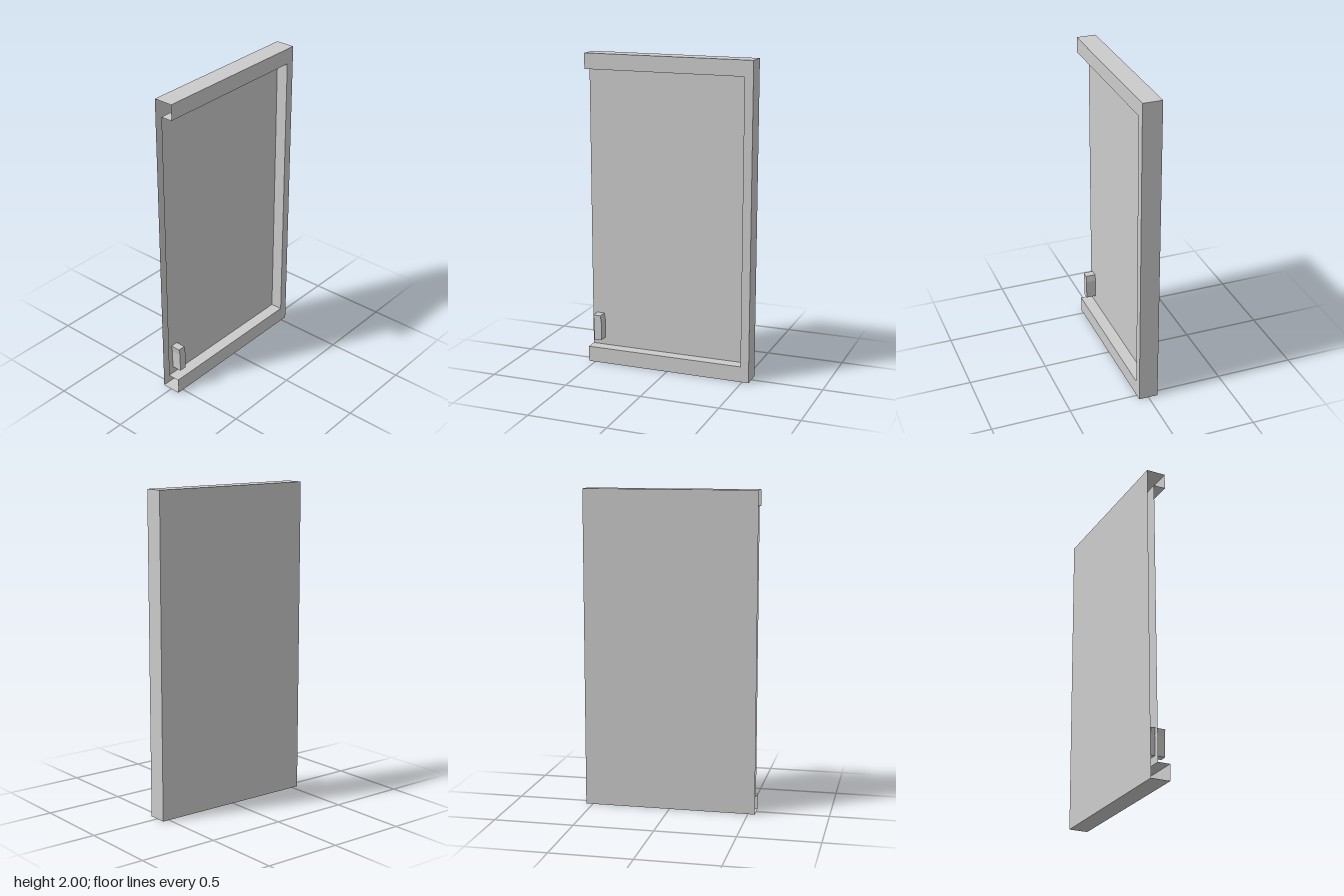
import * as THREE from 'three';

const X = 0.061, INNER_X = -0.015, Z = 0.543, RECESS_Z = -0.489;
const H = 2, LOW = 0.1, HIGH = 1.902;

const material = new THREE.MeshStandardMaterial({
  color: 0xcccccc, flatShading: true, side: THREE.DoubleSide,
});

// Flat-shaded mesh from four-cornered faces (counter-clockwise from outside)
function quadMesh(name, quads) {
  const positions = [];
  for (const [a, b, c, d] of quads) positions.push(...a, ...b, ...c, ...a, ...c, ...d);
  const geometry = new THREE.BufferGeometry();
  geometry.setAttribute('position', new THREE.Float32BufferAttribute(positions, 3));
  geometry.computeVertexNormals();
  const mesh = new THREE.Mesh(geometry, material);
  mesh.name = name;
  return mesh;
}

// Sweeps a closed x,y outline between two depths, leaving both ends open
function sweep(outline, zFront, zBack) {
  return outline.map(([x0, y0], i) => {
    const [x1, y1] = outline[(i + 1) % outline.length];
    return [[x0, y0, zFront], [x0, y0, zBack], [x1, y1, zBack], [x1, y1, zFront]];
  });
}

export function createModel() {
  const group = new THREE.Group();
  group.name = 'recessedPanel';

  // Hollow C-shaped shell, open at the front end
  const channel = [
    [-X, 0], [X, 0], [X, LOW], [INNER_X, LOW],
    [INNER_X, HIGH], [X, HIGH], [X, H], [-X, H],
  ];
  group.add(quadMesh('panelShell', sweep(channel, Z, RECESS_Z)));

  // Rear upright: outer skin, closed back and the end wall of the recess
  const post = [[-X, 0], [X, 0], [X, H], [-X, H]];
  group.add(quadMesh('rearUpright', [
    ...sweep(post, RECESS_Z, -Z),
    [[X, 0, -Z], [-X, 0, -Z], [-X, H, -Z], [X, H, -Z]],
    [[INNER_X, LOW, RECESS_Z], [X, LOW, RECESS_Z], [X, HIGH, RECESS_Z], [INNER_X, HIGH, RECESS_Z]],
  ]));

  // Slightly bent handle, set through the panel near its open end
  const profile = [
    [0.507, 0.148], [0.459, 0.148], [0.459, 0.272],
    [0.466, 0.313], [0.515, 0.313], [0.507, 0.27],
  ];
  const shape = new THREE.Shape(profile.map(([z, y]) => new THREE.Vector2(-z, y)));
  const geometry = new THREE.ExtrudeGeometry(shape, { depth: 0.091, bevelEnabled: false });
  geometry.rotateY(Math.PI / 2).translate(-0.042, 0, 0);
  const handle = new THREE.Mesh(geometry, material);
  handle.name = 'handle';
  group.add(handle);

  return group;
}
